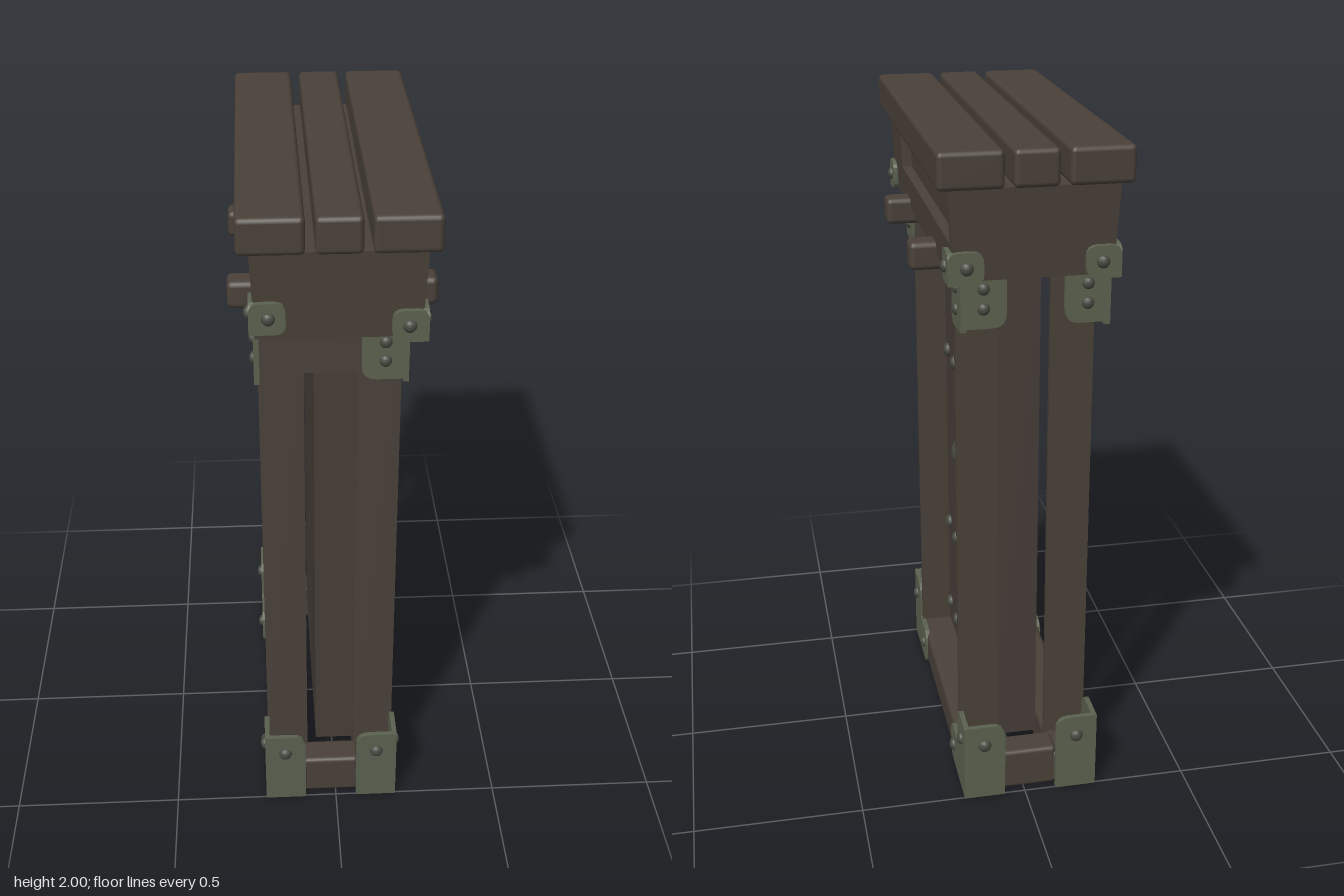
import * as THREE from 'three';
import { RoundedBoxGeometry } from 'three/addons/geometries/RoundedBoxGeometry.js';

const mat = (name, color) => {
  const m = new THREE.MeshStandardMaterial({ color });
  m.name = name;
  return m;
};

export function createModel() {
  const root = new THREE.Group();
  root.name = 'doorway';
  const wood = mat('dark wood', 0x4a4139);
  const doorWood = mat('door wood', 0x463d37);
  const metal = mat('green metal', 0x5b624f);
  const iron = mat('iron', 0x484b42);

  const add = (name, geo, material, x = 0, y = 0, z = 0, parent = root) => {
    const m = new THREE.Mesh(geo, material);
    m.name = name;
    m.position.set(x, y, z);
    parent.add(m);
    return m;
  };
  // Box given by its limits, with softened edges when r > 0
  const box = (name, x0, x1, y0, y1, z0, z1, material = wood, r = 0) => {
    const w = x1 - x0, h = y1 - y0, d = z1 - z0;
    const geo = r ? new RoundedBoxGeometry(w, h, d, 2, r) : new THREE.BoxGeometry(w, h, d);
    return add(name, geo, material, (x0 + x1) / 2, (y0 + y1) / 2, (z0 + z1) / 2);
  };
  // Domed rivet; axis 'x' or 'z' is the way it points
  const rivet = (name, x, y, z, r, axis, material) => {
    const m = add(name, new THREE.SphereGeometry(r, 10, 8), material, x, y, z);
    m.scale[axis] = 0.7;
  };
  // Polygon with its corners rounded by radius r
  const roundedShape = (pts, r) => {
    const v = pts.map(([x, y]) => new THREE.Vector2(x, y));
    const s = new THREE.Shape();
    v.forEach((p, i) => {
      const a = v[(i + v.length - 1) % v.length], b = v[(i + 1) % v.length];
      const k = pts[i][2] ? r : 0.003;
      const p0 = p.clone().add(a.clone().sub(p).setLength(k));
      const p1 = p.clone().add(b.clone().sub(p).setLength(k));
      if (i) s.lineTo(p0.x, p0.y); else s.moveTo(p0.x, p0.y);
      s.quadraticCurveTo(p.x, p.y, p1.x, p1.y);
    });
    s.closePath();
    return s;
  };
  const T = 0.015;
  const plate = (pts, r) => new THREE.ExtrudeGeometry(roundedShape(pts, r),
    { depth: T, bevelEnabled: false, curveSegments: 4 });
  // Plate facing +z or -z, outlined in x and y
  const endPlate = (name, pts, r, sz, z) =>
    add(name, plate(pts, r), metal, 0, 0, sz > 0 ? z - T : -z);
  // Plate facing +x or -x, outlined in z and y
  const sidePlate = (name, pts, r, sx, x) => {
    const m = add(name, plate(pts, r), metal, sx > 0 ? x : x + T, 0, 0);
    m.rotation.y = -Math.PI / 2;
  };

  // Roof planks
  for (const [a, b] of [[-0.257, -0.085], [-0.06, 0.06], [0.083, 0.257]])
    box('roofPlank', a, b, 1.9, 2, -0.58, 0.58, wood, 0.014);

  // Lintel tapering downwards, with a recessed panel on the +x side
  const lintel = (name, ...limits) => {
    const m = box(name, ...limits), p = m.geometry.attributes.position;
    for (let i = 0; i < p.count; i++) {
      const t = (1.9 - p.getY(i) - m.position.y) / 0.25;
      p.setX(i, (p.getX(i) + m.position.x) * (1 - 0.05 * t) - m.position.x);
      p.setZ(i, (p.getZ(i) + m.position.z) * (1 - 0.025 * t) - m.position.z);
    }
    m.geometry.computeVertexNormals();
  };
  lintel('lintelCore', -0.225, 0.195, 1.655, 1.9, -0.555, 0.555);
  lintel('lintelLowerRail', 0.195, 0.225, 1.655, 1.755, -0.555, 0.555);
  lintel('lintelUpperRail', 0.195, 0.225, 1.888, 1.9, -0.555, 0.555);
  lintel('lintelWideStile', 0.195, 0.225, 1.755, 1.888, 0.345, 0.555);
  lintel('lintelNarrowStile', 0.195, 0.225, 1.755, 1.888, -0.555, -0.535);

  // Beams running through below the lintel
  for (const z of [-0.247, 0.24])
    box('throughBeam', -0.288, 0.288, 1.61, 1.69, z - 0.038, z + 0.038, wood, 0.016);

  // Door leaves with a narrow gap, rivets and round handles
  for (const s of [-1, 1]) {
    box('doorLeaf', -0.058, 0.086, 0.13, 1.62, s > 0 ? 0.004 : -0.376, s > 0 ? 0.376 : -0.004, doorWood);
    for (const y of [0.215, 0.53, 1.155, 1.53])
      for (const z of [0.065, 0.19, 0.315])
        rivet('doorRivet', 0.088, y, s * z, 0.022, 'x', iron);
    rivet('handleKnob', 0.09, 0.89, s * 0.082, 0.043, 'x', iron);
    const ring = add('handleRing', new THREE.TorusGeometry(0.048, 0.008, 6, 20), iron, 0.094, 0.885, s * 0.082);
    ring.rotation.y = Math.PI / 2;
  }

  // Upright boards, sills and end sills
  for (const [a, b] of [[-0.21, -0.085], [0.062, 0.182]]) {
    for (const s of [-1, 1])
      box('uprightBoard', a, b, 0.1, 1.61, s * 0.372 - 0.008, s * 0.372 + 0.008);
    box('sill', a, b, 0.005, 0.122, -0.49, 0.49, wood, 0.02);
  }
  for (const s of [-1, 1])
    box('endSill', -0.1, 0.07, 0.005, 0.135, s * 0.44 - 0.045, s * 0.44 + 0.045, wood, 0.012);
  box('frontTie', -0.212, 0.1, 1.53, 1.655, 0.475, 0.498);

  // Metal corner brackets at the foot, below the lintel and on the lintel
  for (const sx of [-1, 1]) for (const sz of [-1, 1]) {
    const outer = sx > 0 ? 0.188 : -0.22, inner = outer - sx * 0.125;
    const mid = (outer + inner) / 2, E = 0.505;

    endPlate('footBracketEnd', [[outer, 0], [inner, 0], [inner, 0.25, 1], [outer, 0.25]], 0.04, sz, E);
    sidePlate('footBracketSide', [[sz * E, 0], [sz * 0.26, 0, 1], [sz * 0.26, 0.125, 1],
      [sz * 0.38, 0.125], [sz * 0.38, 0.25, 1], [sz * E, 0.25]], 0.04, sx, outer);
    rivet('footRivet', mid, 0.185, sz * E, 0.02, 'z', iron);
    rivet('footRivet', outer, 0.185, sz * 0.45, 0.02, 'x', iron);
    rivet('footRivet', outer, 0.065, sz * 0.31, 0.02, 'x', iron);

    if (sx > 0 || sz < 0) {
      endPlate('topBracketEnd', [[outer, 1.51], [inner, 1.51, 1], [inner, 1.66], [outer, 1.66]], 0.04, sz, E);
      for (const y of [1.565, 1.62]) rivet('topRivet', mid, y, sz * E, 0.017, 'z', iron);
    }
    sidePlate('topBracketSide', [[sz * E, 1.5], [sz * 0.365, 1.49, 1], [sz * 0.365, 1.65],
      [sz * E, 1.65]], 0.035, sx, outer);
    for (const y of [1.55, 1.61]) rivet('topRivet', outer, y, sz * 0.44, 0.017, 'x', iron);

    const lift = sx < 0 && sz > 0 ? 0.028 : 0;
    const y0 = 1.65 + lift, y1 = 1.738 + lift, cx = sx * 0.23, cz = 0.565;
    endPlate('lintelClipEnd', [[cx, y0], [sx * 0.135, y0, 1], [sx * 0.135, y1, 1], [cx, y1, 1]], 0.03, sz, cz);
    sidePlate('lintelClipSide', [[sz * cz, y0], [sz * 0.475, y0, 1], [sz * 0.475, y1, 1],
      [sz * cz, y1, 1]], 0.03, sx, cx);
    rivet('clipRivet', sx * 0.18, y0 + 0.045, sz * cz, 0.018, 'z', iron);
    rivet('clipRivet', cx, y0 + 0.045, sz * 0.52, 0.018, 'x', iron);
  }
  return root;
}
